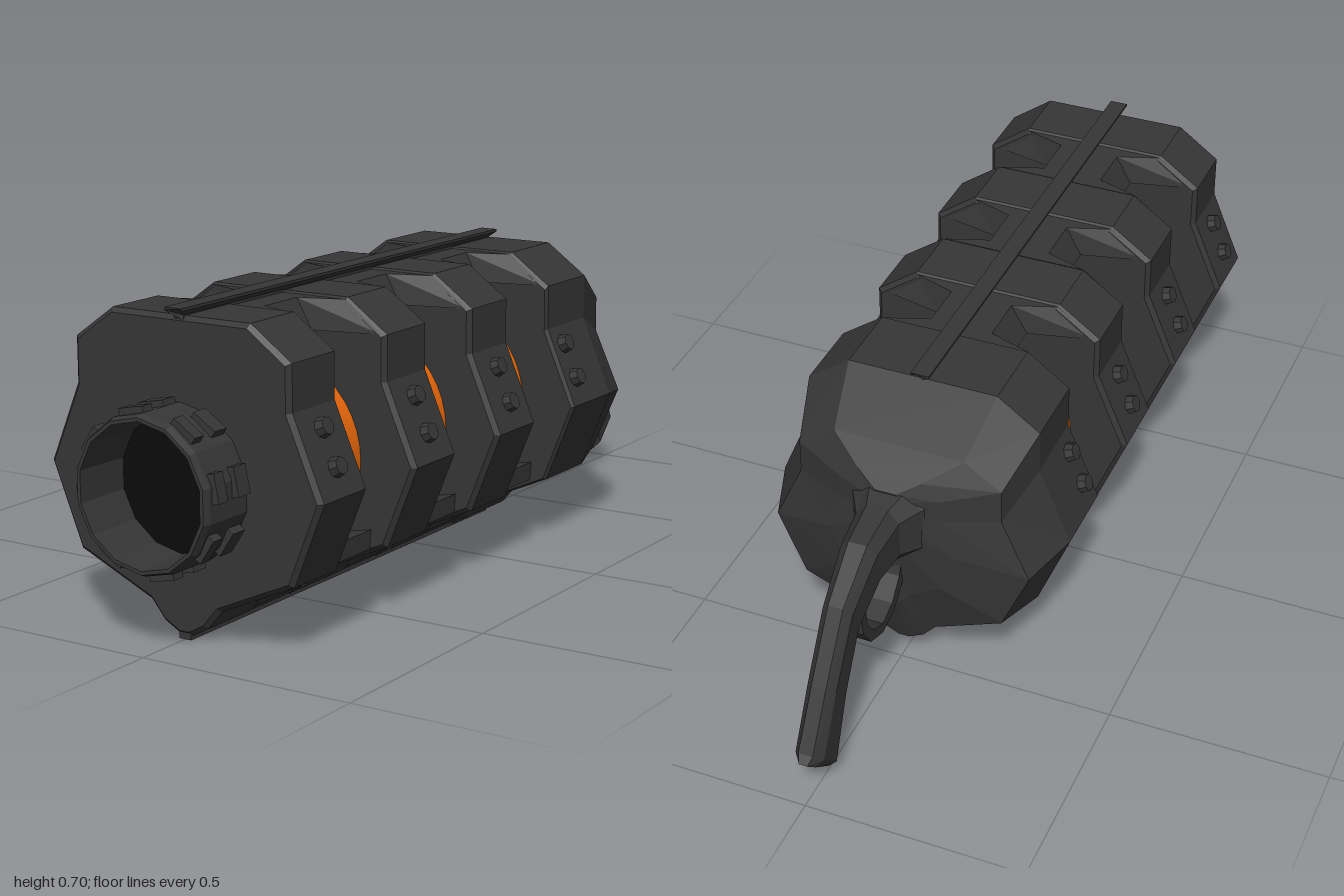
import * as THREE from 'three';

const dark = new THREE.MeshStandardMaterial({ color: 0x363636, flatShading: true });
const black = new THREE.MeshStandardMaterial({ color: 0x0c0c0c });
const orange = new THREE.MeshStandardMaterial({ color: 0xe8680c });

const AXIS_Y = 0.335;
// right half of the armour outline, bottom to top
const HALF = [[0.015, 0.008], [0.055, 0.03], [0.09, 0.072], [0.272, 0.153], [0.345, 0.335],
  [0.271, 0.51], [0.271, 0.61], [0.173, 0.68]];
const mirror = half => [...half, ...half.map(([x, y]) => [-x, y]).reverse()];
const OUTLINE = mirror(HALF);

function add(parent, name, geometry, material = dark) {
  const mesh = new THREE.Mesh(geometry, material);
  mesh.name = name;
  parent.add(mesh);
  return mesh;
}

// outline extruded between two z values, with a small inset bevel
function slab(points, zBack, zFront, bevel) {
  const shape = new THREE.Shape(points.map(([x, y]) => new THREE.Vector2(x, y)));
  const geo = new THREE.ExtrudeGeometry(shape, {
    depth: zFront - zBack - 2 * bevel, bevelEnabled: bevel > 0,
    bevelSize: bevel, bevelThickness: bevel, bevelOffset: -bevel, bevelSegments: 1,
  });
  return geo.translate(0, 0, zBack + bevel);
}

// skin over closed loops running front to back, capped at both ends
function loft(loops) {
  const n = loops[0].length, pos = loops.flat(2), idx = [];
  for (let i = 0; i < loops.length - 1; i++) {
    for (let j = 0; j < n; j++) {
      const a = i * n + j, b = i * n + (j + 1) % n;
      idx.push(a, a + n, b, b, a + n, b + n);
    }
  }
  [0, loops.length - 1].forEach((r, end) => {
    const centre = pos.length / 3;
    for (let k = 0; k < 3; k++) pos.push(loops[r].reduce((s, p) => s + p[k], 0) / n);
    for (let j = 0; j < n; j++) {
      const a = r * n + j, b = r * n + (j + 1) % n;
      idx.push(centre, end ? b : a, end ? a : b);
    }
  });
  const geo = new THREE.BufferGeometry();
  geo.setAttribute('position', new THREE.Float32BufferAttribute(pos, 3));
  geo.setIndex(idx);
  const flat = geo.toNonIndexed();
  flat.computeVertexNormals();
  return flat;
}

// pairs of bolts on the sloped upper sides
function addBolts(parent, z) {
  const slope = new THREE.Vector2(0.175, 0.074).normalize();
  for (const side of [1, -1]) {
    for (const [x, y] of [[0.292, 0.47], [0.324, 0.393]]) {
      const bolt = add(parent, 'bolt', new THREE.CylinderGeometry(0.019, 0.024, 0.03, 8));
      bolt.position.set(side * x, y, z);
      bolt.quaternion.setFromUnitVectors(new THREE.Vector3(0, 1, 0),
        new THREE.Vector3(side * slope.x, slope.y, 0));
    }
  }
}

export function createModel() {
  const model = new THREE.Group();
  model.name = 'model';

  // inner core seen between the armour rings
  const core = add(model, 'core', new THREE.CylinderGeometry(0.21, 0.21, 1.0, 40).rotateX(Math.PI / 2), orange);
  core.position.set(0, AXIS_Y, 0.3);

  // three armour rings
  for (const z of [0.005, 0.35, 0.695]) {
    const ring = new THREE.Group();
    ring.name = 'armourRing';
    add(ring, 'ringPlate', slab(OUTLINE, z, z + 0.168, 0.01));
    addBolts(ring, z + 0.085);
    model.add(ring);
  }

  // top bridges between the rings, flared where they meet them
  const bridgeLoop = (w, z) => [[-w, 0.61, z], [w, 0.61, z], [w * 0.66, 0.676, z], [-w * 0.66, 0.676, z]];
  for (const z of [0.7, 0.355, 0.01]) {
    add(model, 'topBridge', loft([
      bridgeLoop(0.26, z), bridgeLoop(0.11, z - 0.035),
      bridgeLoop(0.11, z - 0.15), bridgeLoop(0.26, z - 0.185)]));
  }

  // lower trough joining the rings
  const trough = mirror([[0.015, 0.01], [0.053, 0.035], [0.088, 0.078], [0.232, 0.145], [0.235, 0.188], [0.12, 0.165]]);
  add(model, 'lowerTrough', slab(trough, -0.2, 0.72, 0));

  // top and bottom rails
  const rail = mirror([[0.012, 0.67], [0.012, 0.682], [0.021, 0.692], [0.021, 0.698]]);
  const railMesh = add(model, 'topRail', slab(rail, -0.37, 0.88, 0));
  // rail ends are undercut
  const rp = railMesh.geometry.attributes.position;
  for (let i = 0; i < rp.count; i++) {
    if (rp.getY(i) < 0.685) rp.setZ(i, rp.getZ(i) > 0 ? 0.86 : -0.35);
  }
  railMesh.geometry.computeVertexNormals();
  add(model, 'bottomRail', new THREE.BoxGeometry(0.03, 0.02, 1.2)).position.set(0, 0.01, 0.26);

  // rear housing: the same outline, shrinking to the grip
  const housing = [[-0.172, 0.98, 0.01, 0.67], [-0.18, 1, 0.004, 0.68], [-0.355, 1, 0.004, 0.68],
    [-0.485, 0.87, 0.05, 0.59], [-0.535, 0.42, 0.19, 0.545], [-0.56, 0.14, 0.34, 0.52]];
  add(model, 'rearHousing', loft(housing.map(([z, s, bottom, top]) =>
    OUTLINE.map(([x, y]) => [x * s, bottom + (y - 0.008) / 0.672 * (top - bottom), z]))));
  addBolts(model, -0.222);

  // curved grip: upper edge, lower edge and half width of each section
  const grip = [[-0.5, 0.55, -0.5, 0.33, 0.12], [-0.55, 0.52, -0.55, 0.35, 0.08], [-0.6, 0.507, -0.6, 0.365, 0.05],
    [-0.7, 0.487, -0.68, 0.365, 0.042], [-0.815, 0.405, -0.77, 0.31, 0.034],
    [-0.91, 0.26, -0.835, 0.19, 0.033], [-0.985, 0.135, -0.89, 0.04, 0.033], [-1, 0.12, -0.902, 0.036, 0.02]];
  const section = [[0.5, 0], [1, 0.2], [1, 0.8], [0.5, 1], [-0.5, 1], [-1, 0.8], [-1, 0.2], [-0.5, 0]];
  add(model, 'grip', loft(grip.map(([zt, yt, zb, yb, w]) =>
    section.map(([u, v]) => [u * w, yb + (yt - yb) * v, zb + (zt - zb) * v]))));

  // trigger guard: a flat strap bent under the grip
  const strap = [[-0.52, 0.36, -0.53, 0.38], [-0.545, 0.265, -0.56, 0.295], [-0.59, 0.222, -0.6, 0.25],
    [-0.65, 0.207, -0.65, 0.232], [-0.71, 0.23, -0.695, 0.252], [-0.745, 0.28, -0.725, 0.29], [-0.755, 0.34, -0.73, 0.34]];
  add(model, 'triggerGuard', loft(strap.map(([zo, yo, zi, yi]) =>
    [[-0.028, yo, zo], [0.028, yo, zo], [0.028, yi, zi], [-0.028, yi, zi]])));

  // muzzle collar with two rows of lugs
  const muzzle = new THREE.Group();
  muzzle.name = 'muzzle';
  muzzle.position.y = AXIS_Y;
  const profile = [[0.168, 0.85], [0.168, 0.985], [0.162, 1], [0.154, 1], [0.15, 0.85]]
    .map(([r, z]) => new THREE.Vector2(r, z));
  add(muzzle, 'muzzleCollar', new THREE.LatheGeometry(profile, 14).rotateX(Math.PI / 2));
  add(muzzle, 'bore', new THREE.CircleGeometry(0.155, 28), black).position.z = 0.866;
  for (let i = 0; i < 8; i++) {
    const angle = i * Math.PI / 4 + 0.2;
    for (const [z, depth] of [[0.962, 0.03], [0.892, 0.04]]) {
      const lug = add(muzzle, 'lug', new THREE.BoxGeometry(0.022, 0.062, depth));
      lug.position.set(Math.cos(angle) * 0.167, Math.sin(angle) * 0.167, z);
      lug.rotation.z = angle;
    }
  }
  model.add(muzzle);

  return model;
}
